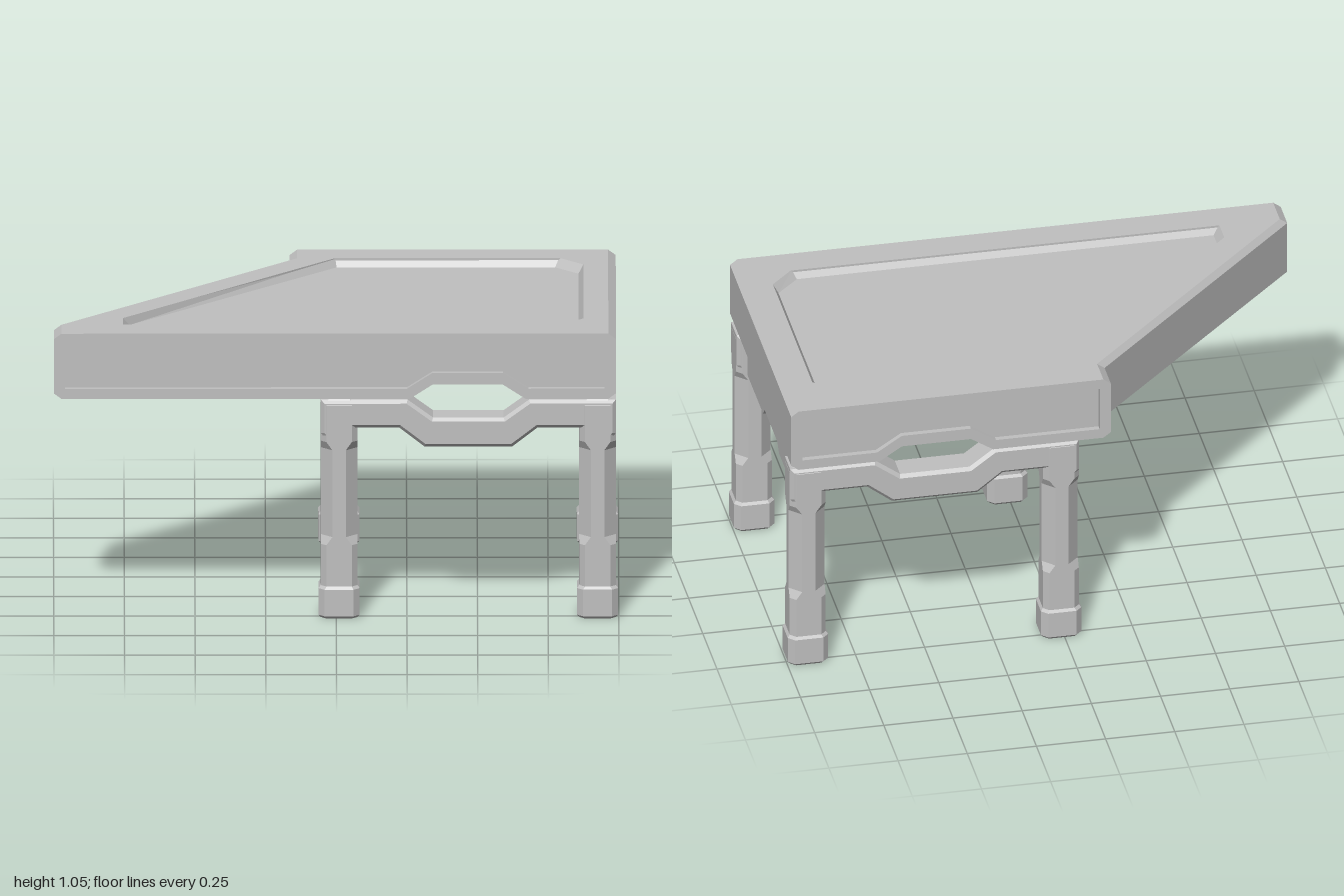
import * as THREE from 'three';

const grey = new THREE.MeshStandardMaterial({ color: 0xc0c0c0 });
grey.name = 'plain grey';

const toShape = (pts) => new THREE.Shape(pts.map(([x, y]) => new THREE.Vector2(x, y)));

// Extrude a polygon along +z from z0 to z1, with an optional edge bevel.
function prism(pts, z0, z1, { hole, bevel = 0 } = {}) {
  const shape = toShape(pts);
  if (hole) shape.holes.push(toShape(hole));
  const geo = new THREE.ExtrudeGeometry(shape, {
    depth: z1 - z0 - 2 * bevel,
    bevelEnabled: bevel > 0, bevelSize: bevel, bevelThickness: bevel, bevelOffset: -bevel, bevelSegments: 1,
  });
  return geo.translate(0, 0, z0 + bevel);
}

// Plan polygon (x, z) extruded downwards from height top.
const slab = (pts, top, depth, hole) =>
  prism(pts, 0, depth, { hole }).rotateX(Math.PI / 2).translate(0, top, 0);

// Faceted skin through rings of points, with optional end caps.
function loft(rings, caps = true) {
  const pos = [];
  const n = rings[0].length;
  const tri = (...p) => p.forEach((v) => pos.push(...v));
  for (let r = 0; r < rings.length - 1; r++) {
    const a = rings[r], b = rings[r + 1];
    for (let i = 0; i < n; i++) {
      const j = (i + 1) % n;
      tri(a[i], b[i], a[j]);
      tri(a[j], b[i], b[j]);
    }
  }
  if (caps) {
    const bottom = rings[0], top = rings[rings.length - 1];
    for (let i = 1; i < n - 1; i++) {
      tri(bottom[0], bottom[i], bottom[i + 1]);
      tri(top[0], top[i + 1], top[i]);
    }
  }
  const geo = new THREE.BufferGeometry();
  geo.setAttribute('position', new THREE.Float32BufferAttribute(pos, 3));
  geo.computeVertexNormals();
  return geo;
}

// Rectangle with chamfered corners at height y.
const octagon = (y, hx, hz, c) => [
  [hx, y, c - hz], [hx, y, hz - c], [hx - c, y, hz], [c - hx, y, hz],
  [-hx, y, hz - c], [-hx, y, c - hz], [c - hx, y, -hz], [hx - c, y, -hz],
];

export function createModel() {
  const model = new THREE.Group();
  const add = (name, geo, parent = model) => {
    const mesh = new THREE.Mesh(geo, grey);
    mesh.name = name;
    parent.add(mesh);
    return mesh;
  };

  // Front and back beams with a recessed panel and a notch in the lower edge
  const beam = (name, x0, solid, frame) => {
    const x1 = 0.99, c = 0.027;
    const outline = [
      [x0, 0.83], [x0 + c, 0.81], [0.26, 0.81], [0.34, 0.862], [0.59, 0.862], [0.67, 0.81],
      [x1 - c, 0.81], [x1, 0.83], [x1, 1.03], [x1 - c, 1.05], [x0 + c, 1.05], [x0, 1.03],
    ];
    const panel = [
      [x0 + 0.04, 0.847], [0.25, 0.847], [0.34, 0.905], [0.59, 0.905], [0.68, 0.847],
      [x1 - 0.04, 0.847], [x1 - 0.04, 1.012], [x0 + 0.04, 1.012],
    ];
    add(name, prism(outline, ...solid));
    add(name + 'PanelFrame', prism(outline, ...frame, { hole: panel }));
  };
  beam('frontBeam', -1, [0.42, 0.515], [0.515, 0.535]);
  beam('backBeam', -0.165, [-0.54 + 0.02, -0.43], [-0.54, -0.52]);

  // Right wall
  add('rightWall', prism([
    [0.875, 0.81], [0.963, 0.81], [0.99, 0.83], [0.99, 1.03], [0.963, 1.05], [0.875, 1.05],
  ], -0.435, 0.425));

  // Slanted wall, sheared across the depth
  const slant = prism([
    [-1, 0.83], [-0.973, 0.81], [-0.84, 0.81], [-0.84, 1.05], [-0.973, 1.05], [-1, 1.03],
  ], -0.43, 0.42);
  const p = slant.attributes.position;
  for (let i = 0; i < p.count; i++) p.setX(i, p.getX(i) + (0.42 - p.getZ(i)) * (0.835 / 0.85));
  slant.computeVertexNormals();
  add('slantedWall', slant);

  // Table surface: rim, sloped recess edge and sunken floor
  const recess = [
    [-0.755, 0.425], [0.79, 0.425], [0.875, 0.34], [0.875, -0.35],
    [0.79, -0.435], [-0.003, -0.435], [-0.755, 0.335],
  ];
  const rim = [
    [-0.97, 0.44], [0.963, 0.44], [0.963, -0.45], [-0.13, -0.45], [-0.13, -0.43], [-0.97, 0.42],
  ];
  const floor = recess.map(([x, z]) => [0.2 + (x - 0.2) * 0.975, z * 0.955]);
  add('topRim', slab(rim, 1.05, 0.07, recess));
  add('topFloor', slab(recess, 1.02, 0.04));
  add('recessEdge', loft([
    floor.map(([x, z]) => [x, 1.0205, z]),
    recess.map(([x, z]) => [x, 1.05, z]),
  ], false));

  // Legs with a waisted shaft and a wider foot
  const shaft = loft([
    [0.1, 0.02], [0.27, 0.02], [0.3, 0.041], [0.62, 0.041], [0.65, 0.02], [0.785, 0.02],
  ].map(([y, c]) => octagon(y, 0.065, 0.06, c)).concat([octagon(0.805, 0.052, 0.047, 0.014)]));
  const foot = loft([
    octagon(0, 0.064, 0.058, 0.018), octagon(0.01, 0.073, 0.067, 0.022),
    octagon(0.108, 0.073, 0.067, 0.022), octagon(0.118, 0.065, 0.06, 0.02),
  ]);
  for (const [side, x] of [['right', 0.925], ['left', 0.01]]) {
    for (const [end, z] of [['front', 0.473], ['back', -0.473]]) {
      const leg = new THREE.Group();
      leg.name = end + (side === 'right' ? 'Outer' : 'Inner') + 'Leg';
      leg.position.set(x, 0, z);
      add('shaft', shaft, leg);
      add('foot', foot, leg);
      model.add(leg);
    }
  }

  // Front and back rails, dipping in the middle and flaring into the legs
  const half = [
    [0.155, 0.63], [0.245, 0.7], [0.405, 0.7], [0.43, 0.65], [0.5, 0.65],
    [0.522, 0.68], [0.522, 0.803], [0.215, 0.803], [0.125, 0.737],
  ];
  const railOutline = half.concat(half.map(([x, y]) => [-x, y]).reverse());
  for (const [name, z] of [['frontRail', 0.473], ['backRail', -0.473]]) {
    add(name, prism(railOutline, -0.059, 0.059, { bevel: 0.012 })).position.set(0.4675, 0, z);
  }

  // Side rails, narrowed in the middle
  const quarter = [[0.11, 0.675], [0.14, 0.643], [0.43, 0.643], [0.43, 0.79], [0.14, 0.79], [0.11, 0.758]];
  const sideOutline = quarter.concat(quarter.map(([x, y]) => [-x, y]).reverse());
  for (const [name, x] of [['outerSideRail', 0.925], ['innerSideRail', 0.01]]) {
    add(name, prism(sideOutline, -0.027, 0.027).rotateY(-Math.PI / 2)).position.x = x;
  }

  return model;
}
